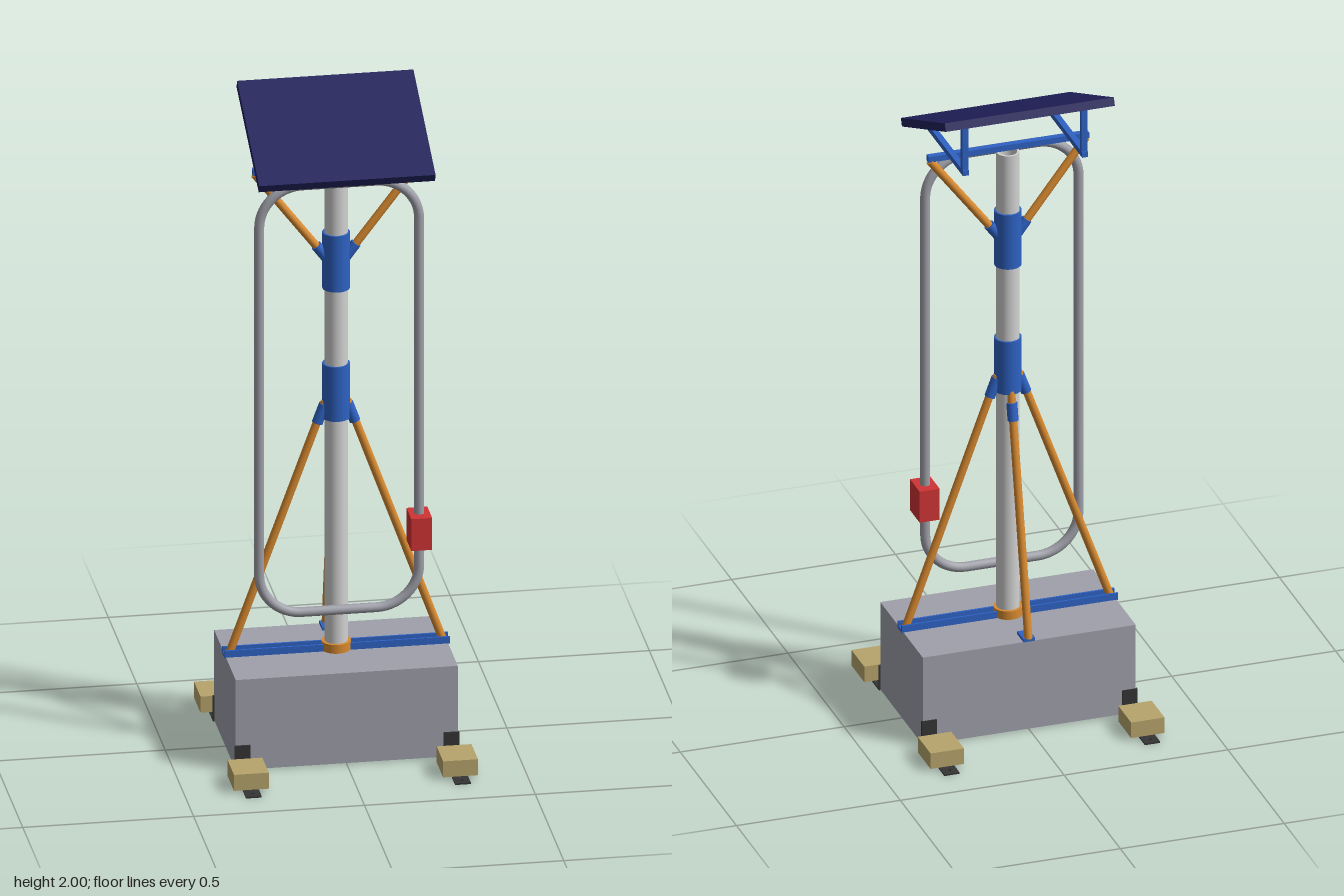
import * as THREE from 'three';

const mat = (name, color, side = THREE.FrontSide) => {
  const m = new THREE.MeshStandardMaterial({ color, side });
  m.name = name;
  return m;
};

export function createModel() {
  const concrete = mat('concrete grey', 0xa0a0ac);
  const steel = mat('pale steel', 0xd2d2d2);
  const hoseGrey = mat('hose grey', 0xa0a0aa);
  const blue = mat('blue', 0x2e62c4);
  const orange = mat('orange', 0xd88a30);
  const navy = mat('panel navy', 0x20205c);
  const tan = mat('wood tan', 0xb8a46c);
  const black = mat('black', 0x353535);
  const red = mat('red', 0xd03434);

  const model = new THREE.Group();
  model.name = 'solarPoleStation';

  const add = (name, geometry, material, x = 0, y = 0, z = 0) => {
    const mesh = new THREE.Mesh(geometry, material);
    mesh.name = name;
    mesh.position.set(x, y, z);
    model.add(mesh);
    return mesh;
  };
  // Box given by its lowest and highest corners
  const box = (name, material, [x0, y0, z0], [x1, y1, z1]) =>
    add(name, new THREE.BoxGeometry(x1 - x0, y1 - y0, z1 - z0), material,
      (x0 + x1) / 2, (y0 + y1) / 2, (z0 + z1) / 2);
  // Round bar between two points
  const rod = (name, material, a, b, r) => {
    const p = new THREE.Vector3(...a), q = new THREE.Vector3(...b);
    const d = q.clone().sub(p);
    const mesh = add(name, new THREE.CylinderGeometry(r, r, d.length(), 20), material);
    mesh.position.copy(p).add(q).multiplyScalar(0.5);
    mesh.quaternion.setFromUnitVectors(new THREE.Vector3(0, 1, 0), d.normalize());
    return mesh;
  };
  // Hollow round sleeve; every edge gets its own points so it stays sharp
  const sleeve = (name, material, rIn, rOut, y0, y1) => {
    const group = new THREE.Group();
    group.name = name;
    const ring = [[rIn, y0], [rOut, y0], [rOut, y1], [rIn, y1], [rIn, y0]];
    for (let i = 0; i < 4; i++) {
      const points = [ring[i], ring[i + 1]].map(p => new THREE.Vector2(...p));
      const face = new THREE.Mesh(new THREE.LatheGeometry(points, 40), material);
      face.name = name + 'Face';
      group.add(face);
    }
    model.add(group);
  };

  // Ballast block
  box('ballastBlock', concrete, [-0.325, 0.003, -0.19], [0.325, 0.285, 0.188]);

  // Four feet: angle bracket with a bolt hole, and a wooden weight
  const plate = new THREE.Shape([[-0.023, 0.188], [0.023, 0.188], [0.023, 0.394], [-0.023, 0.394]]
    .map(p => new THREE.Vector2(...p)));
  const hole = new THREE.Path();
  hole.absarc(0, 0.372, 0.005, 0, Math.PI * 2, true);
  plate.holes.push(hole);
  const plateGeo = new THREE.ExtrudeGeometry(plate, { depth: 0.005, bevelEnabled: false, curveSegments: 16 });
  for (const sx of [-1, 1]) for (const sz of [-1, 1]) {
    const x = 0.306 * sx;
    const foot = add('footPlate', plateGeo, black, x, sz > 0 ? 0.005 : 0, 0);
    foot.rotation.x = sz * Math.PI / 2;
    add('footUpright', new THREE.BoxGeometry(0.046, 0.078, 0.006), black, x, 0.041, sz * 0.19);
    add('footWeight', new THREE.BoxGeometry(0.102, 0.05, 0.114), tan, x, 0.033, sz * 0.295 - 0.001);
  }

  // Channel across the block, and the short one for the rear brace
  box('channelFloor', blue, [-0.33, 0.284, -0.018], [0.33, 0.292, 0.018]);
  for (const s of [-1, 1]) {
    box('channelFlange', blue, [-0.33, 0.284, s * 0.016 - 0.003], [0.33, 0.306, s * 0.016 + 0.003]);
  }
  box('rearBraceShoe', blue, [-0.018, 0.284, -0.19], [0.018, 0.294, -0.135]);

  // Mast with its collars
  sleeve('mast', steel, 0.027, 0.034, 0.285, 1.778);
  sleeve('mastFootCollar', orange, 0.033, 0.043, 0.285, 0.312);
  sleeve('lowerCollar', blue, 0.033, 0.04, 1.01, 1.18);
  sleeve('upperCollar', blue, 0.033, 0.04, 1.415, 1.59);

  // Braces and their sockets
  for (const s of [-1, 1]) {
    rod('sideBrace', orange, [s * 0.033, 1.06, 0], [s * 0.311, 0.295, 0], 0.012);
    rod('sideBraceSocket', blue, [s * 0.034, 1.052, 0], [s * 0.055, 0.995, 0], 0.016);
    rod('upperBrace', orange, [s * 0.036, 1.52, 0], [s * 0.238, 1.785, 0], 0.012);
    rod('upperBraceSocket', blue, [s * 0.028, 1.51, 0], [s * 0.058, 1.55, 0], 0.016);
  }
  rod('rearBrace', orange, [0, 1.02, -0.028], [0, 0.29, -0.182], 0.012);
  rod('rearBraceSocket', blue, [0, 0.983, -0.035], [0, 0.93, -0.046], 0.016);

  // Hose loop with rounded corners
  const hw = 0.234, top = 1.764, bottom = 0.428, r = 0.125;
  const path = new THREE.CurvePath();
  const v = (x, y) => new THREE.Vector3(x, y, 0.054);
  const corners = [[hw, bottom, 1, -1], [hw, top, 1, 1], [-hw, top, -1, 1], [-hw, bottom, -1, -1]];
  // Each corner is entered alternately along x and along y
  const ends = corners.map(([x, y, sx, sy], i) => {
    const onX = v(x - sx * r, y), onY = v(x, y - sy * r);
    return i % 2 ? [onY, onX] : [onX, onY];
  });
  corners.forEach(([x, y, sx, sy], i) => {
    const [a, b] = ends[i];
    const k = 0.448;
    path.add(new THREE.CubicBezierCurve3(a, a.clone().lerp(v(x, y), 1 - k),
      b.clone().lerp(v(x, y), 1 - k), b));
    path.add(new THREE.LineCurve3(b, ends[(i + 1) % 4][0]));
  });
  add('hoseLoop', new THREE.TubeGeometry(path, 240, 0.0145, 14, true), hoseGrey);

  // Control box on the hose
  box('controlBox', red, [0.204, 0.615, 0.012], [0.265, 0.715, 0.098]);

  // Panel support frame
  box('frameCrossbar', blue, [-0.245, 1.785, -0.01], [0.245, 1.803, 0.01]);
  for (const s of [-1, 1]) {
    const x = s * 0.182;
    box('frameRail', blue, [x - 0.009, 1.803, -0.157], [x + 0.009, 1.82, 0.157]);
    box('frameRearPost', blue, [x - 0.009, 1.815, -0.152], [x + 0.009, 1.96, -0.136]);
    box('frameFrontPost', blue, [x - 0.009, 1.815, 0.138], [x + 0.009, 1.832, 0.154]);
  }

  // Tilted solar panel
  const panel = add('solarPanel', new THREE.BoxGeometry(0.516, 0.025, 0.425), navy, 0, 1.905, 0);
  panel.rotation.x = THREE.MathUtils.degToRad(23.3);

  return model;
}
